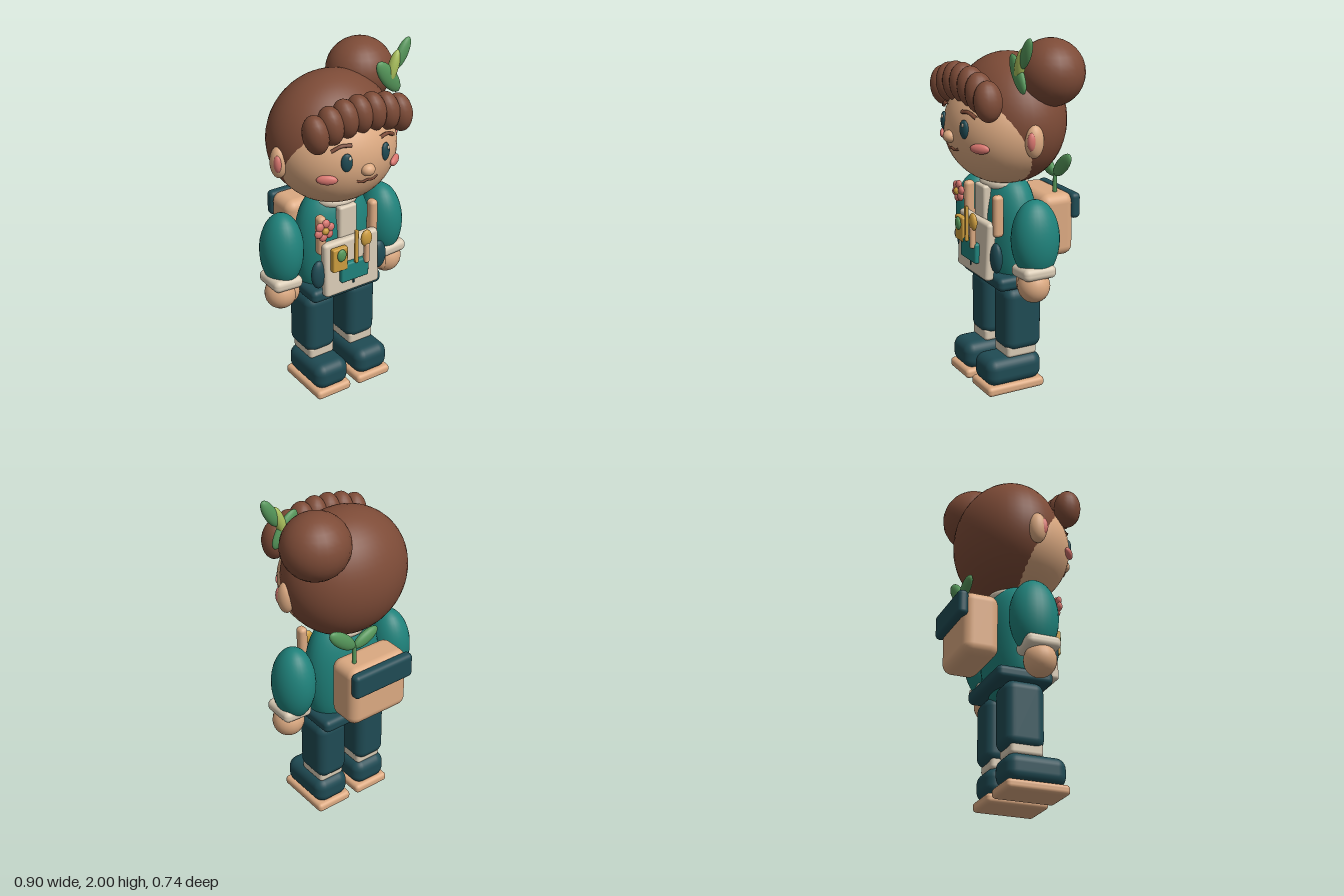
import * as THREE from 'three';
import { RoundedBoxGeometry } from 'three/addons/geometries/RoundedBoxGeometry.js';

function material(name, color) {
  const m = new THREE.MeshStandardMaterial({ color });
  m.name = name;
  return m;
}

export function createModel() {
  const model = new THREE.Group();
  model.name = 'explorer';

  const hair = material('hair brown', 0x7d4b37);
  const skin = material('skin tan', 0xdba981);
  const cream = material('cream cloth', 0xd8cab4);
  const teal = material('teal jacket', 0x1f827b);
  const navy = material('dark teal cloth', 0x1f4b54);
  const pink = material('pink', 0xd8766f);
  const green = material('leaf green', 0x55965a);
  const lime = material('lime green', 0xa9bf5c);
  const gold = material('gold', 0xcc9c3e);

  const add = (name, mat, geo, pos, rot = [0, 0, 0]) => {
    const mesh = new THREE.Mesh(geo, mat);
    mesh.name = name;
    mesh.position.set(...pos);
    mesh.rotation.set(...rot);
    model.add(mesh);
    return mesh;
  };
  // Ellipsoid given by its three radii
  const ball = (name, mat, pos, radii, rot, detail = 24) => {
    const mesh = add(name, mat, new THREE.SphereGeometry(1, detail, Math.round(detail * 0.67)), pos, rot);
    mesh.scale.set(...radii);
    return mesh;
  };
  const box = (name, mat, pos, size, radius, rot) =>
    add(name, mat, new RoundedBoxGeometry(...size, 4, radius), pos, rot);
  const line = (name, mat, points, radius) => {
    const curve = new THREE.CatmullRomCurve3(points.map(p => new THREE.Vector3(...p)));
    return add(name, mat, new THREE.TubeGeometry(curve, 16, radius, 6), [0, 0, 0]);
  };

  // Head and hair: two overlapping ellipsoids form the hairline
  ball('face', skin, [0, 1.47, 0.02], [0.345, 0.31, 0.315], undefined, 40);
  ball('hairCap', hair, [0, 1.515, -0.02], [0.363, 0.355, 0.295], undefined, 40);
  ball('hairBun', hair, [0.262, 1.79, -0.125], [0.188, 0.18, 0.18]);
  for (let i = -3; i <= 3; i++) {
    const y = 1.725 - 0.0062 * i * i;
    ball('fringeLock', hair, [i * 0.087 - 0.003, y, 0.25 - 0.001 * i * i],
      [0.068, 0.108, 0.078], [0, 0, 0.15], 18);
  }

  // Leaf ornament by the bun
  ball('hairLeafUpper', green, [0.383, 1.92, 0.09], [0.036, 0.092, 0.024], [0, 0, -0.5]);
  ball('hairLeafLower', green, [0.297, 1.805, 0.09], [0.048, 0.115, 0.024], [0, 0, 0.65]);
  ball('hairLeafBud', lime, [0.325, 1.855, 0.092], [0.03, 0.095, 0.028], [0, 0, -0.32]);

  // Face details
  ball('nose', skin, [-0.005, 1.445, 0.333], [0.04, 0.034, 0.037]);
  line('mouth', hair, [[-0.065, 1.388, 0.316], [-0.032, 1.376, 0.321], [0, 1.383, 0.325],
    [0.032, 1.376, 0.321], [0.065, 1.388, 0.316]], 0.007);
  for (const s of [-1, 1]) {
    ball('eye', navy, [s * 0.122, 1.505, 0.311], [0.031, 0.051, 0.017], [0, s * 0.3, 0]);
    ball('eyeGlint', cream, [s * 0.122 + 0.01, 1.53, 0.325], [0.009, 0.011, 0.006], undefined, 10);
    line('eyebrow', hair, [[s * 0.09, 1.592, 0.306], [s * 0.145, 1.596, 0.294],
      [s * 0.195, 1.572, 0.276]], 0.011);
    ball('cheek', pink, [s * 0.215, 1.415, 0.268], [0.056, 0.027, 0.02], [0, s * 0.65, 0]);
    ball('ear', skin, [s * 0.35, 1.455, 0.02], [0.045, 0.09, 0.052]);
    ball('earInner', pink, [s * 0.372, 1.46, 0.046], [0.021, 0.05, 0.026]);
  }

  // Torso, collar and shirt front
  const torsoProfile = [[0, 0.56], [0.1, 0.567], [0.175, 0.61], [0.22, 0.72], [0.235, 0.88],
    [0.222, 1.03], [0.18, 1.14], [0.11, 1.2], [0, 1.22]].map(p => new THREE.Vector2(...p));
  const torso = add('torso', teal, new THREE.LatheGeometry(
    new THREE.SplineCurve(torsoProfile).getPoints(28).map(p => new THREE.Vector2(Math.max(p.x, 0), p.y)), 32), [0, 0, 0]);
  torso.scale.z = 0.64;
  const collar = add('collar', cream, new THREE.TorusGeometry(0.105, 0.03, 10, 32), [0, 1.165, 0.01], [Math.PI / 2, 0, 0]);
  collar.scale.z = 0.9;
  box('shirtFront', cream, [-0.003, 1.0, 0.14], [0.115, 0.32, 0.05], 0.015);
  box('waistband', navy, [0, 0.638, 0], [0.46, 0.078, 0.32], 0.03);

  // Arms, legs, straps and hip pouches
  for (const s of [-1, 1]) {
    ball('sleeve', teal, [s * 0.332, 0.917, 0], [0.117, 0.217, 0.135], [0, 0, s * 0.04], 28);
    box('cuff', cream, [s * 0.35, 0.748, 0.018], [0.178, 0.07, 0.195], 0.03, [0, 0, s * 0.06]);
    ball('hand', skin, [s * 0.357, 0.667, 0.022], [0.09, 0.093, 0.088]);
    ball('thumb', skin, [s * 0.3, 0.672, 0.05], [0.04, 0.068, 0.045], [0, 0, s * 0.15], 16);
    box('strap', skin, [s * 0.17, 1.02, 0.14], [0.05, 0.235, 0.06], 0.022);
    ball('hipPouch', navy, [s * 0.2, 0.795, 0.165], [0.046, 0.085, 0.03]);
    box('trouserLeg', navy, [s * 0.137, 0.42, 0], [0.192, 0.37, 0.225], 0.055);
    box('sock', cream, [s * 0.135, 0.235, 0.01], [0.163, 0.075, 0.185], 0.02);
    box('shoe', navy, [s * 0.137, 0.127, 0.06], [0.216, 0.16, 0.34], 0.06);
    box('sole', skin, [s * 0.137, 0.03, 0.06], [0.226, 0.056, 0.352], 0.022);
  }

  // Front tool panel
  box('toolPanel', cream, [-0.005, 0.818, 0.18], [0.356, 0.325, 0.055], 0.02, [-0.05, 0, 0]);
  box('toolPocket', teal, [-0.005, 0.792, 0.218], [0.182, 0.115, 0.035], 0.012);
  box('card', gold, [-0.105, 0.89, 0.222], [0.095, 0.14, 0.035], 0.008);
  ball('cardLeaf', green, [-0.103, 0.92, 0.244], [0.028, 0.037, 0.014]);
  box('pencil', gold, [-0.005, 0.945, 0.24], [0.02, 0.2, 0.02], 0.005);
  box('pencilTip', navy, [-0.005, 0.72, 0.213], [0.009, 0.035, 0.012], 0.003);
  ball('spoonBowl', gold, [0.064, 0.972, 0.235], [0.035, 0.05, 0.02]);
  box('spoonHandle', skin, [0.064, 0.885, 0.238], [0.03, 0.125, 0.035], 0.013);

  // Flower pin
  for (let i = 0; i < 6; i++) {
    const a = i * Math.PI / 3 + 0.3;
    ball('petal', pink, [-0.185 + 0.039 * Math.cos(a), 1.08 + 0.039 * Math.sin(a), 0.2],
      [0.025, 0.025, 0.016], undefined, 12);
  }
  ball('flowerCentre', gold, [-0.185, 1.08, 0.21], [0.021, 0.021, 0.017], undefined, 12);

  // Backpack with a sprout growing from it
  box('backpack', skin, [-0.005, 0.91, -0.235], [0.385, 0.36, 0.205], 0.055);
  box('backpackFlap', navy, [-0.005, 1.012, -0.343], [0.39, 0.145, 0.06], 0.025);
  add('sproutStem', green, new THREE.CylinderGeometry(0.011, 0.013, 0.14, 10), [0.11, 1.135, -0.248]);
  ball('sproutLeafLarge', green, [0.188, 1.258, -0.248], [0.042, 0.105, 0.026], [0, 0, -0.85]);
  ball('sproutLeafSmall', green, [0.035, 1.222, -0.248], [0.038, 0.085, 0.026], [0, 0, 1.15]);

  return model;
}
